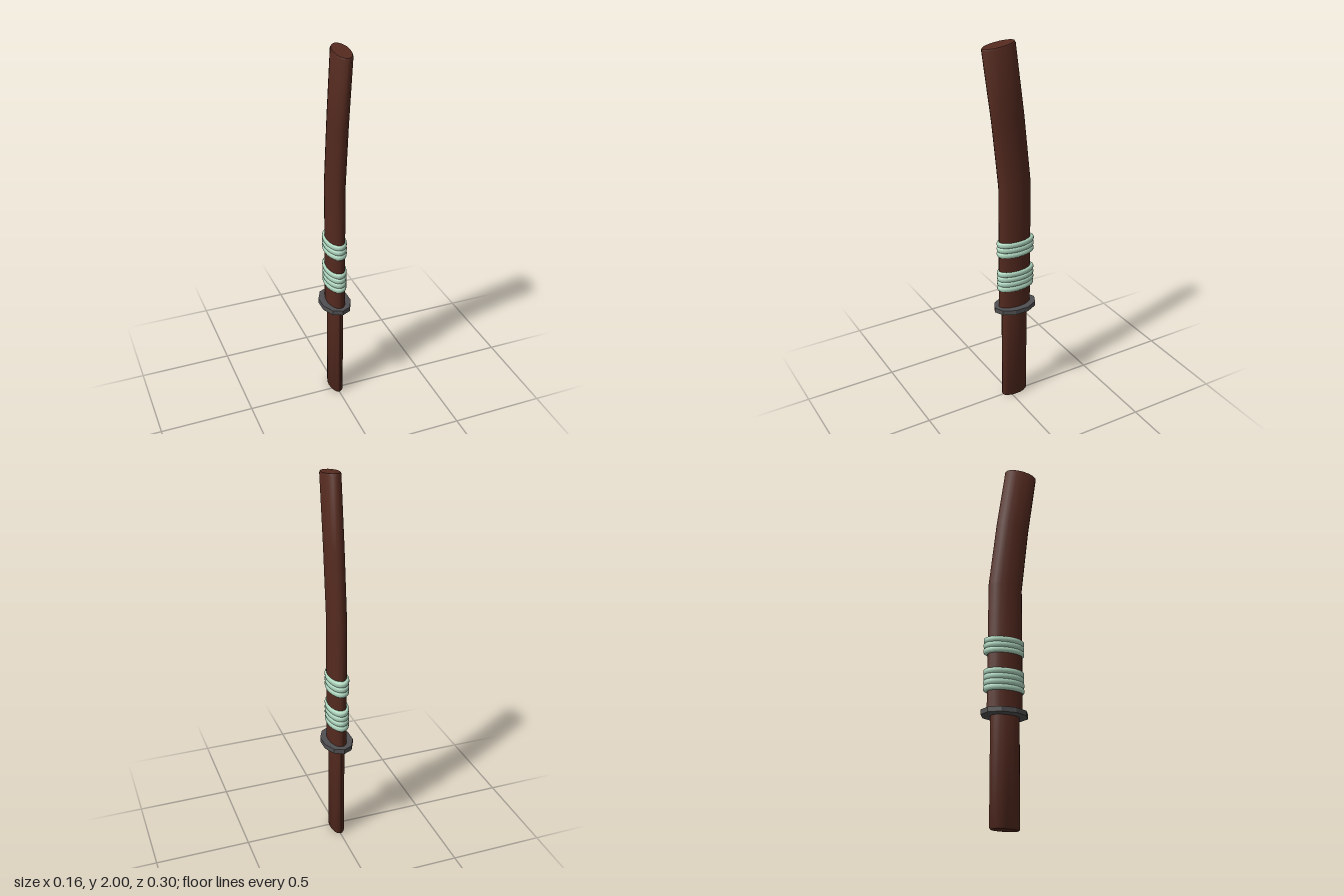
import * as THREE from 'three';
import { toCreasedNormals } from 'three/addons/utils/BufferGeometryUtils.js';

// Closed loft through elliptical sections [y, z, halfWidth, halfDepth, tilt]
function loft(sections, sides, crease) {
  const pos = [], index = [];
  for (const [y, z, hx, hz, tilt = 0] of sections) {
    for (let i = 0; i < sides; i++) {
      const a = (i / sides) * Math.PI * 2;
      const d = hz * Math.cos(a);
      pos.push(hx * Math.sin(a), y - d * Math.sin(tilt), z + d * Math.cos(tilt));
    }
  }
  const last = sections.length - 1;
  const bottom = pos.length / 3, top = bottom + 1;
  pos.push(0, sections[0][0], sections[0][1], 0, sections[last][0], sections[last][1]);
  for (let i = 0; i < sides; i++) {
    const n = (i + 1) % sides;
    for (let j = 0; j < last; j++) {
      const a = j * sides, b = a + sides;
      index.push(a + i, a + n, b + n, a + i, b + n, b + i);
    }
    index.push(bottom, n, i, top, last * sides + i, last * sides + n);
  }
  const g = new THREE.BufferGeometry();
  g.setAttribute('position', new THREE.Float32BufferAttribute(pos, 3));
  g.setIndex(index);
  return toCreasedNormals(g, crease);
}

export function createModel() {
  const model = new THREE.Group();
  const wood = new THREE.MeshStandardMaterial({ color: 0x542a1f });
  const cord = new THREE.MeshStandardMaterial({ color: 0xb0d8c0 });
  const iron = new THREE.MeshStandardMaterial({ color: 0x505052 });
  const add = (name, geometry, material, parent = model) => {
    const mesh = new THREE.Mesh(geometry, material);
    mesh.name = name;
    parent.add(mesh);
  };

  // Handle with a softened lower end
  add('handle', loft([
    [0, -0.027, 0.032, 0.07],
    [0.008, -0.027, 0.037, 0.075],
    [0.57, -0.027, 0.037, 0.075],
  ], 16, 0.75), wood);

  // Ten-sided guard plate
  add('guard', loft([
    [0.555, -0.03, 0.082, 0.121],
    [0.581, -0.03, 0.082, 0.121],
  ], 10, 0.2), iron);

  // Sheath: straight below, bending forward above
  add('sheath', loft([
    [0.57, -0.028, 0.046, 0.092],
    [1.27, -0.027, 0.046, 0.09, 0.055],
    [1.63, 0.012, 0.046, 0.089, 0.115],
    [1.982, 0.06, 0.046, 0.089, 0.125],
    [1.99, 0.061, 0.042, 0.085, 0.125],
  ], 16, 0.75), wood);

  // Cord wraps, each a stack of rounded turns
  for (const [name, y0, y1, turns] of [['lowerWrap', 0.68, 0.796, 4], ['upperWrap', 0.88, 0.966, 3]]) {
    const wrap = new THREE.Group();
    wrap.name = name;
    const h = (y1 - y0) / turns;
    for (let t = 0; t < turns; t++) {
      const sections = [[0, 0.006], [0.12, 0.002], [0.3, 0], [0.7, 0], [0.88, 0.002], [1, 0.006]]
        .map(([f, inset]) => [y0 + (t + f) * h, -0.033, 0.055 - inset, 0.106 - inset]);
      add('cordTurn', loft(sections, 20, 0.75), cord, wrap);
    }
    model.add(wrap);
  }
  return model;
}
